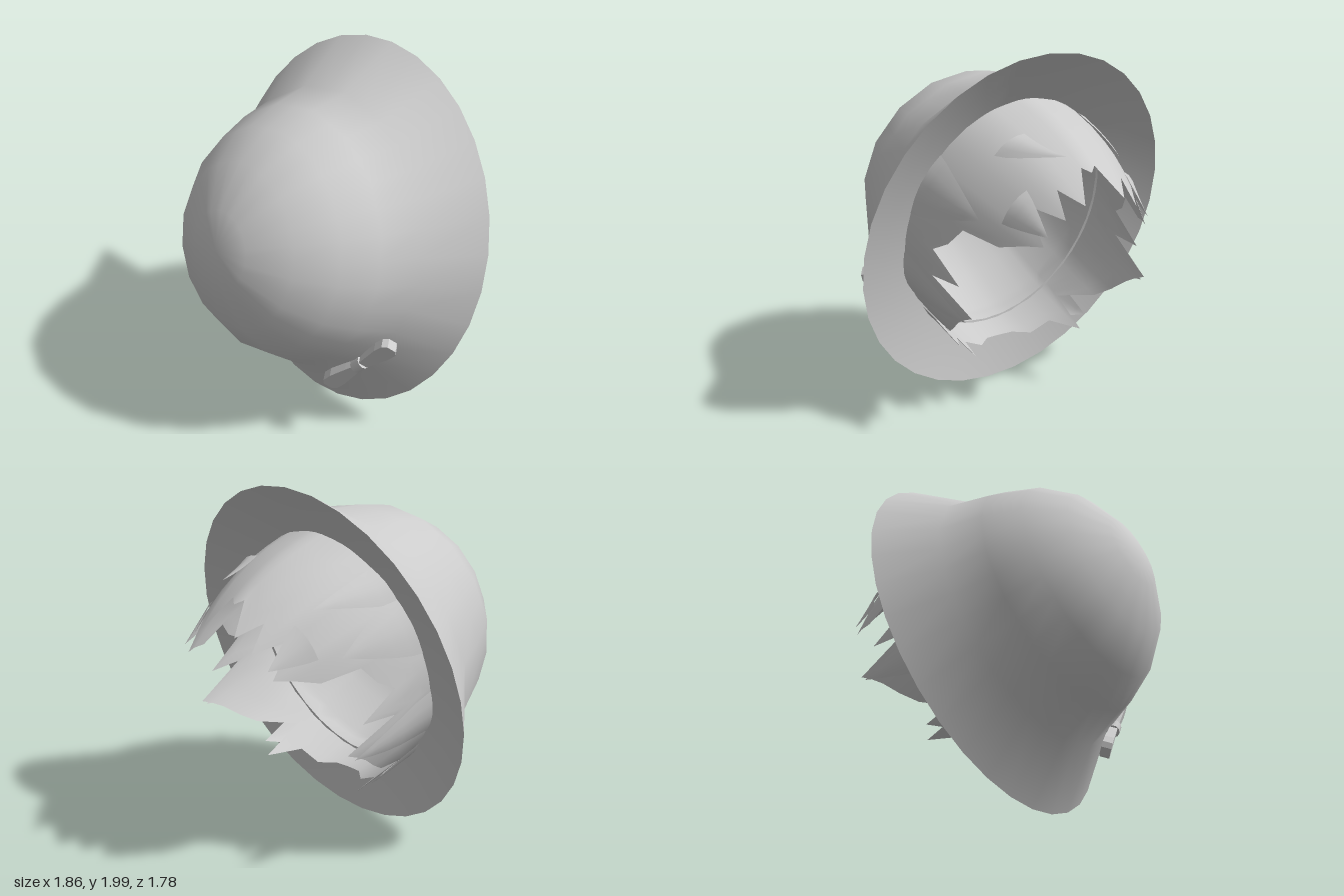
import * as THREE from 'three';
import { mergeVertices } from 'three/addons/utils/BufferGeometryUtils.js';

const material = new THREE.MeshStandardMaterial({ color: 0xcccccc, side: THREE.DoubleSide });
const { degToRad, lerp, smoothstep } = THREE.MathUtils;

function addMesh(parent, name, geometry) {
  const mesh = new THREE.Mesh(geometry, material);
  mesh.name = name;
  parent.add(mesh);
  return mesh;
}

// Smooth sheet from a grid of points
function sheet(rows, cols, point) {
  const pos = [], index = [];
  for (let i = 0; i < rows; i++) for (let j = 0; j < cols; j++) pos.push(...point(i, j));
  for (let i = 0; i < rows - 1; i++) {
    for (let j = 0; j < cols - 1; j++) {
      const a = i * cols + j, b = a + cols;
      index.push(a, a + 1, b, a + 1, b + 1, b);
    }
  }
  let g = new THREE.BufferGeometry();
  g.setAttribute('position', new THREE.Float32BufferAttribute(pos, 3));
  g.setIndex(index);
  g = mergeVertices(g, 1e-4);
  g.computeVertexNormals();
  return g;
}

// Hair point: angle from the top of the hat, height along its axis, radius.
// Below the rim the upper hair curls inward, the lower hair hangs nearly straight.
const curl = deg => 1 - smoothstep(Math.abs(deg), 74, 98);
const hairRadius = (deg, t) => 0.72 - lerp(0.2, 0.37, curl(deg)) * Math.min(t, 0) ** 2;
const hairPoint = (deg, r, t) => {
  const sx = t < 0 ? 0.84 + 0.25 * curl(deg) * t : Math.min(0.92, 0.84 + 0.15 * t);
  return [r * Math.sin(degToRad(deg)) * sx, t, -r * Math.cos(degToRad(deg))];
};

// Domed crown (16 sides) flaring to an oval brim (32 sides)
function hatGeometry() {
  const profile = [[1.038, 0], [0.777, 0.287], [0.697, 0.51], [0.6, 0.704], [0.438, 0.878], [0.205, 0.993], [0, 1.018]];
  return sheet(profile.length, 33, (i, j) => {
    const row = profile.length - 1 - i, [r, y] = profile[row];
    const a = j / 32 * Math.PI * 2;
    const flat = row > 0 && j % 2 ? Math.cos(Math.PI / 16) : 1;
    return [r * flat * Math.sin(a) * (row ? 0.945 : 0.896), y, -r * flat * Math.cos(a)];
  });
}

// Underside of the brim, running from the rim in to the hair
function undersideGeometry() {
  const profile = [[1.038, 0, 0.896], [0.88, 0.07, 0.88], [0.71, 0.13, 0.855]];
  return sheet(profile.length, 33, (i, j) => {
    const [r, y, sx] = profile[i], a = j / 32 * Math.PI * 2;
    return [r * Math.sin(a) * sx, y, r * Math.cos(a)];
  });
}

// Hair shell: lining inside the crown, ending in a jagged fringe of tips
function hairGeometry() {
  const half = [[0, -0.5], [5, -0.46], [18, -0.64], [26, -0.5], [34, -0.635], [43, -0.46], [54, -0.63], [60, -0.55],
    [68, -0.44], [71, -0.23], [80, -0.18], [86, -0.1], [92, -0.35], [97, -0.14], [102, -0.48], [106, -0.42],
    [111, -0.36], [119, -0.29], [127, -0.21], [140, 0], [144, -0.3], [152, -0.1], [164, -0.1], [172, -0.03], [180, -0.02]];
  const edge = [...half.slice(1).reverse().map(([a, t]) => [-a, t]), ...half];
  const lining = [[0, 0.99], [0.2, 0.965], [0.42, 0.85], [0.575, 0.68], [0.665, 0.49], [0.725, 0.25]];
  const steps = 6;
  return sheet(lining.length + steps, edge.length, (i, j) => {
    const [deg, end] = edge[j];
    if (i < lining.length) return hairPoint(deg, ...lining[i]);
    const t = lerp(0.25, end, (i - lining.length + 1) / steps);
    return hairPoint(deg, hairRadius(deg, t), t);
  });
}

// Loose pointed lock lifting off the hair shell
function lockGeometry(from, to, start, tip, end, lift) {
  const rows = 6, cols = 5;
  return sheet(rows, cols, (i, j) => {
    const v = i / (rows - 1), u = j / (cols - 1);
    const t = lerp(start, end, v);
    const deg = lerp(lerp(from, to, u), tip, v ** 1.3);
    const bulge = 0.02 * Math.sin(Math.PI * u) * (1 - v);
    return hairPoint(deg, hairRadius(deg, t) + 0.004 + bulge + lift * v * v, t);
  });
}

// Bow of two flared loops and a knot
function createBow() {
  const bow = new THREE.Group();
  bow.name = 'bow';
  const outline = [[0, 0.02], [0.08, 0.034], [0.19, 0.05], [0.25, 0.048], [0.275, 0.026],
    [0.275, -0.026], [0.25, -0.048], [0.19, -0.05], [0.08, -0.034], [0, -0.02]];
  for (const side of [0, 1]) {
    const g = new THREE.ExtrudeGeometry(new THREE.Shape(outline.map(p => new THREE.Vector2(...p))),
      { depth: 0.07, bevelEnabled: false });
    g.translate(0, 0, -0.035);
    // Loops thin out toward the knot
    const p = g.attributes.position;
    for (let i = 0; i < p.count; i++) p.setZ(i, p.getZ(i) * (0.6 + 0.7 * p.getX(i)));
    g.computeVertexNormals();
    addMesh(bow, side ? 'bowLoopLower' : 'bowLoopUpper', g).rotation.z = side * Math.PI;
  }
  const knot = new THREE.CylinderGeometry(0.038, 0.038, 0.065, 10);
  knot.rotateZ(Math.PI / 2);
  addMesh(bow, 'bowKnot', knot);
  const along = new THREE.Vector3(0.38, 0.42, -0.11).normalize();
  const out = new THREE.Vector3(0.51, -0.32, 0.79);
  const across = out.clone().cross(along).normalize();
  out.crossVectors(along, across);
  bow.quaternion.setFromRotationMatrix(new THREE.Matrix4().makeBasis(along, across, out));
  bow.position.set(0.525, 0.57, 0.36);
  return bow;
}

export function createModel() {
  const model = new THREE.Group();
  model.name = 'hatWithHair';

  // Tilted hat, opening toward the back
  const hat = new THREE.Group();
  hat.name = 'tiltedHat';
  hat.position.set(0, 1.005, -0.115);
  hat.rotation.x = 1.283;
  model.add(hat);
  addMesh(hat, 'hat', hatGeometry());
  addMesh(hat, 'brimUnderside', undersideGeometry());
  addMesh(hat, 'hair', hairGeometry());

  // Locks: from angle, to angle, start height, tip angle, tip height, lift
  const pairs = [
    [50, 80, 0.15, 63, -0.308, 0.02],
    [38, 58, -0.4, 49, -0.64, 0.03],
    [98, 122, 0.14, 105, -0.45, 0.015],
    [134, 158, 0.14, 137, -0.24, 0.01],
  ];
  for (const [a, b, start, tip, end, lift] of pairs) {
    addMesh(hat, 'lockLeft', lockGeometry(a, b, start, tip, end, lift));
    addMesh(hat, 'lockRight', lockGeometry(-b, -a, start, -tip, end, lift));
  }
  addMesh(hat, 'lockTop', lockGeometry(18, 36, -0.14, 14, -0.435, 0.07));
  addMesh(hat, 'lockTopSmall', lockGeometry(-56, -36, 0.14, -38, -0.3, 0.02));

  model.add(createBow());
  return model;
}
